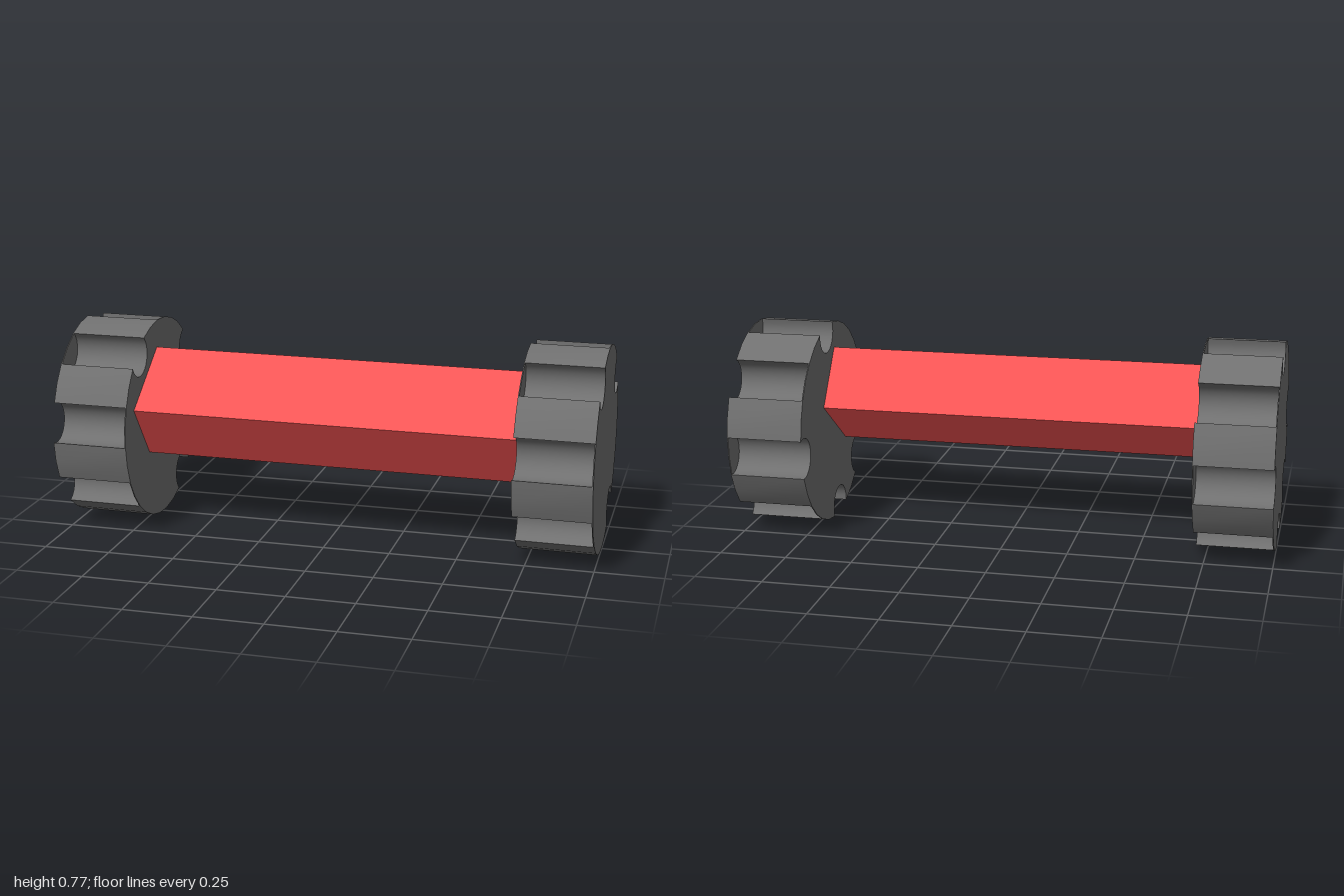
import * as THREE from 'three';
import { toCreasedNormals } from 'three/addons/utils/BufferGeometryUtils.js';

const R = 0.385, NOTCH_R = 0.077, NOTCH_D = 0.36;
const WIDTH = 0.285, SKIN = 0.004;
const OUTWARD = [0, 2, 6];        // notches open towards +x
const INWARD = [1, 3, 4, 5, 7];   // notches open towards -x

// Disc outline with round notches bitten out at the listed 45 degree slots
function notchedDisc(slots) {
  const half = Math.acos((R * R + NOTCH_D * NOTCH_D - NOTCH_R * NOTCH_R) / (2 * R * NOTCH_D));
  const beta = Math.atan2(R * Math.sin(half), R * Math.cos(half) - NOTCH_D);
  const pts = [];
  const rim = (a) => pts.push(new THREE.Vector2(R * Math.cos(a), R * Math.sin(a)));
  for (let i = 0; i < 8; i++) {
    const a = THREE.MathUtils.degToRad(37 + 45 * i);
    rim(a - half);
    if (slots.includes(i)) {
      const n = 14;
      for (let k = 1; k < n; k++) {
        const t = a - beta - (2 * Math.PI - 2 * beta) * (k / n);
        pts.push(new THREE.Vector2(
          NOTCH_D * Math.cos(a) + NOTCH_R * Math.cos(t),
          NOTCH_D * Math.sin(a) + NOTCH_R * Math.sin(t)));
      }
    } else rim(a);
    rim(a + half);
    rim(a + Math.PI / 8);
  }
  return new THREE.Shape(pts);
}

function slab(slots, depth, start) {
  const geo = new THREE.ExtrudeGeometry(notchedDisc(slots), { depth, bevelEnabled: false });
  geo.translate(0, 0, start);
  geo.rotateY(Math.PI / 2);
  return toCreasedNormals(geo, 0.6);
}

export function createModel() {
  const model = new THREE.Group();
  const body = new THREE.Group();
  body.name = 'dumbbell';
  const grey = new THREE.MeshStandardMaterial({ color: 0x707070 });
  const red = new THREE.MeshStandardMaterial({ color: 0xff5555 });

  // End wheels: grooved core, each groove closed by a thin skin at one end
  const parts = [
    ['wheelCore', slab([...OUTWARD, ...INWARD], WIDTH - 2 * SKIN, -WIDTH / 2 + SKIN)],
    ['wheelLeftSkin', slab(OUTWARD, SKIN, WIDTH / 2 - SKIN)],
    ['wheelRightSkin', slab(INWARD, SKIN, -WIDTH / 2)],
  ];
  // The -x skin keeps the inward notches open and closes the outward ones, and vice versa
  for (const side of [1, -1]) {
    const wheel = new THREE.Group();
    wheel.name = side > 0 ? 'leftWheel' : 'rightWheel';
    for (const [name, geo] of parts) {
      const mesh = new THREE.Mesh(geo, grey);
      mesh.name = name;
      wheel.add(mesh);
    }
    wheel.position.x = side * (1 - WIDTH / 2);
    body.add(wheel);
  }

  // Square-edged bar, off centre and rolled about its length
  const bar = new THREE.Mesh(new THREE.BoxGeometry(1.63, 0.251, 0.315), red);
  bar.name = 'bar';
  bar.position.set(0.01, 0.088, 0.09);
  bar.rotation.x = Math.atan2(0.185, 0.255);
  body.add(bar);

  // Very slight tilt of the whole piece
  body.position.y = 0.387;
  body.rotation.set(0, -0.0035, -0.0025);
  model.add(body);
  return model;
}
